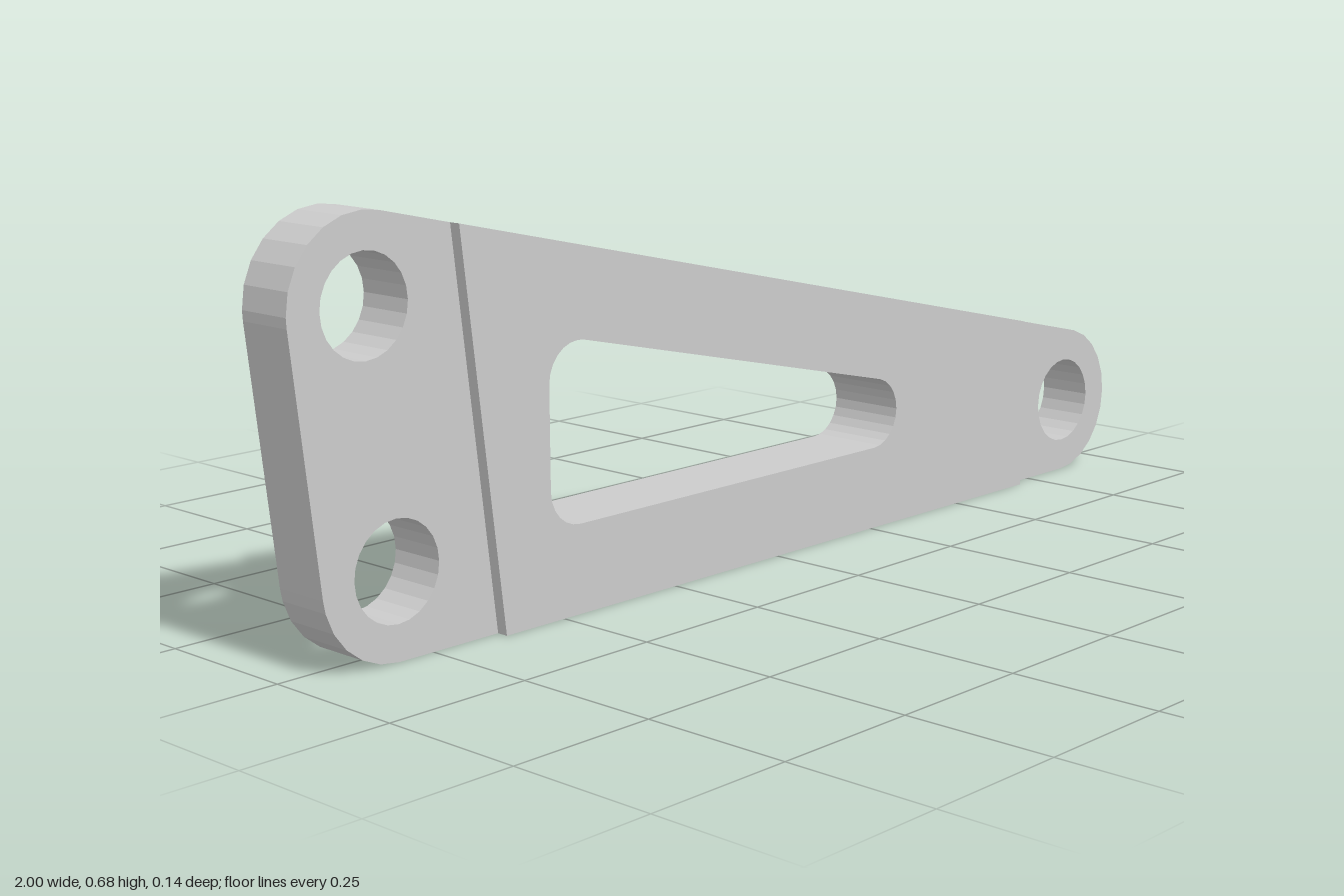
import * as THREE from 'three';

const material = new THREE.MeshStandardMaterial({ color: 0xcccccc, flatShading: true });
const R = 0.138; // lug corner radius
const HOLE = 0.08; // pin hole radius
const UPPER = [-0.862, 0.538], LOWER = [-0.815, R], TIP = [0.862, R];

// Outward directions (degrees) of the sloped top edge and the leaning left edge
const TOP = THREE.MathUtils.radToDeg(Math.atan2(TIP[0] - UPPER[0], UPPER[1] - TIP[1]));
const LEFT = 180 + THREE.MathUtils.radToDeg(Math.atan2(LOWER[0] - UPPER[0], UPPER[1] - LOWER[1]));

// Height of the sloped top edge at a given x
function topY(x) {
  const a = THREE.MathUtils.degToRad(TOP);
  return UPPER[1] + (R - (x - UPPER[0]) * Math.cos(a)) / Math.sin(a);
}

// Faceted arc with corners at every 15 degrees
function arc([cx, cy], r, from, to) {
  const angles = [from];
  for (let a = Math.floor(from / 15 + 1) * 15; a < to - 0.01; a += 15) angles.push(a);
  angles.push(to);
  return angles.map((a) => {
    const t = THREE.MathUtils.degToRad(a);
    return new THREE.Vector2(cx + r * Math.cos(t), cy + r * Math.sin(t));
  });
}

const point = (x, y) => new THREE.Vector2(x, y);
const pinHole = (centre) => arc(centre, HOLE, 0, 360).slice(0, -1);

// Plate of the given thickness, centred on z = 0
function plate(name, outline, holes, thickness) {
  const shape = new THREE.Shape(outline);
  shape.holes = holes.map((h) => new THREE.Path(h));
  const geometry = new THREE.ExtrudeGeometry(shape, { depth: thickness, bevelEnabled: false });
  geometry.translate(0, 0, -thickness / 2);
  const mesh = new THREE.Mesh(geometry, material);
  mesh.name = name;
  return mesh;
}

export function createModel() {
  const group = new THREE.Group();
  group.name = 'bracket';

  // Thick central web with a rounded triangular window
  const web = [point(-0.621, 0), point(0.7, 0), point(0.7, topY(0.7)), point(-0.699, topY(-0.699))];
  const r = 0.062;
  const window = [
    ...arc([0.258, 0.208], r, -90, TOP),
    ...arc([-0.463, 0.376], r, TOP, 180),
    ...arc([-0.463, 0.208], r, 180, 270),
  ];
  group.add(plate('web', web, [window], 0.14));

  // Thinner double-hole lug
  const doubleLug = [
    ...arc(UPPER, R, TOP, LEFT),
    ...arc(LOWER, R, LEFT, 270),
    web[0], web[3],
  ];
  group.add(plate('doubleLug', doubleLug, [pinHole(UPPER), pinHole(LOWER)], 0.1));

  // Thinner single-hole lug
  const singleLug = [...arc(TIP, R, -90, TOP), web[2], web[1]];
  group.add(plate('singleLug', singleLug, [pinHole(TIP)], 0.1));

  return group;
}
